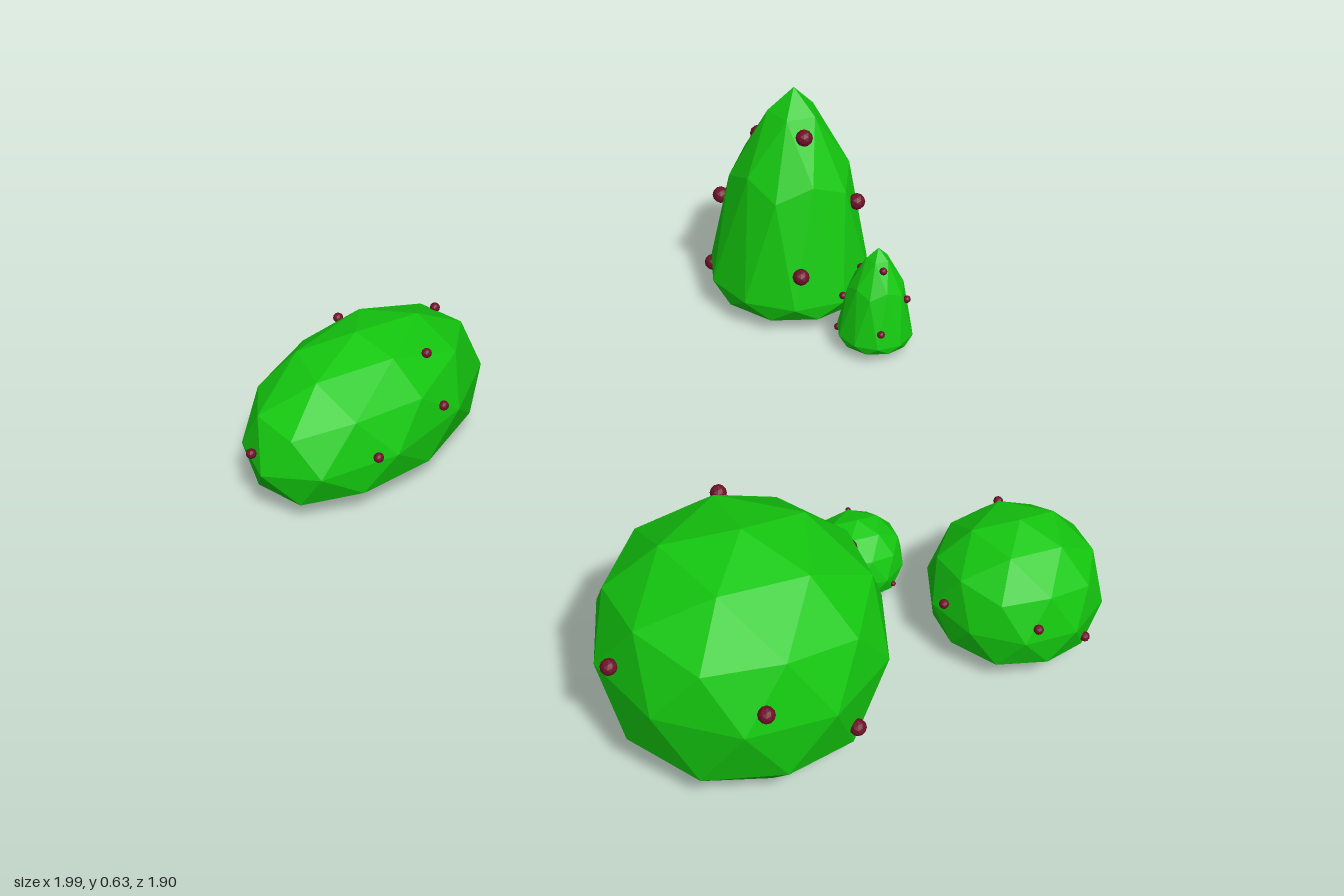
import * as THREE from 'three';

const leafMat = new THREE.MeshStandardMaterial({ color: 0x14c80f, flatShading: true });
const berryMat = new THREE.MeshStandardMaterial({ color: 0x6e1028, flatShading: true });

// Berry spots on each kind of bush: [degrees around, latitude from -1 to 1]
const BERRIES = {
  round: [[2, -0.34], [46, 0.19], [115, 0.15], [181, -0.3], [224, 0.65], [239, -0.28], [285, 0.2]],
  long: [[27, 0.07], [102, 0.17], [143, -0.15], [175, -0.15], [200, 0.7], [265, 0.53], [338, 0.72], [350, 0.2]],
  tall: [[38, 0.77], [50, 0.12], [156, 0.29], [158, -0.19], [195, 0.58], [274, 0.19], [345, 0.36]],
};

const BUSHES = [
  { name: 'largeRoundBush', kind: 'round', x: 0.45, z: 0.635, rx: 0.31, rz: 0.31, base: 0, height: 0.5, waist: 0.47 },
  { name: 'mediumRoundBush', kind: 'round', x: 0.795, z: 0.1, rx: 0.19, rz: 0.19, base: 0.02, height: 0.3, waist: 0.4 },
  { name: 'smallRoundBush', kind: 'round', x: 0.435, z: 0.16, rx: 0.107, rz: 0.107, base: 0.02, height: 0.17, waist: 0.4 },
  { name: 'longBush', kind: 'long', x: -0.785, z: 0.42, rx: 0.215, rz: 0.345, base: 0.02, height: 0.34, waist: 0.4 },
  { name: 'tallBush', kind: 'tall', x: -0.33, z: -0.737, rx: 0.22, rz: 0.215, base: 0.02, height: 0.61, waist: 0.12 },
  { name: 'smallTallBush', kind: 'tall', x: -0.02, z: -0.665, rx: 0.1, rz: 0.1, base: 0.02, height: 0.28, waist: 0.12 },
];

// Moves a point of the unit sphere onto a bush: flattened below the waist, tapered above it if tall
function shape(p, bush) {
  const tall = bush.kind === 'tall';
  const h = THREE.MathUtils.clamp(p.y, -1, 1);
  const angle = Math.atan2(p.z, p.x);
  let radius = Math.sqrt(1 - h * h);
  let level;
  if (h > 0) {
    level = bush.waist + (1 - bush.waist) * h ** (tall ? 0.8 : 1);
    if (tall) radius *= 1 - 0.55 * h ** 1.5;
  } else {
    level = Math.max(0, bush.waist * (1 + 1.3 * h));
    radius **= 0.7;
  }
  return p.set(
    bush.rx * radius * Math.cos(angle),
    bush.base + bush.height * level,
    bush.rz * radius * Math.sin(angle),
  );
}

function foliageGeometry(bush) {
  const geo = new THREE.IcosahedronGeometry(1, 1);
  // Stand the ball on one of its points
  geo.rotateZ(Math.atan2(1, (1 + Math.sqrt(5)) / 2)).rotateY(Math.PI);
  const pos = geo.attributes.position;
  const p = new THREE.Vector3();
  for (let i = 0; i < pos.count; i++) {
    shape(p.fromBufferAttribute(pos, i), bush);
    pos.setXYZ(i, p.x, p.y, p.z);
  }
  geo.computeVertexNormals();
  return geo;
}

function makeBush(bush) {
  const group = new THREE.Group();
  group.name = bush.name;
  group.position.set(bush.x, 0, bush.z);

  const foliage = new THREE.Mesh(foliageGeometry(bush), leafMat);
  foliage.name = 'foliage';
  group.add(foliage);

  // Berries sitting on the foliage
  const berryGeo = new THREE.IcosahedronGeometry(bush.height * 0.036, 1);
  for (const [degrees, latitude] of BERRIES[bush.kind]) {
    const berry = new THREE.Mesh(berryGeo, berryMat);
    berry.name = 'berry';
    const polar = Math.acos(latitude);
    const around = Math.PI / 2 - THREE.MathUtils.degToRad(degrees);
    shape(berry.position.setFromSphericalCoords(1, polar, around), bush);
    berry.position.x *= 0.98;
    berry.position.z *= 0.98;
    group.add(berry);
  }
  return group;
}

export function createModel() {
  const model = new THREE.Group();
  model.name = 'bushes';
  for (const bush of BUSHES) model.add(makeBush(bush));
  return model;
}
